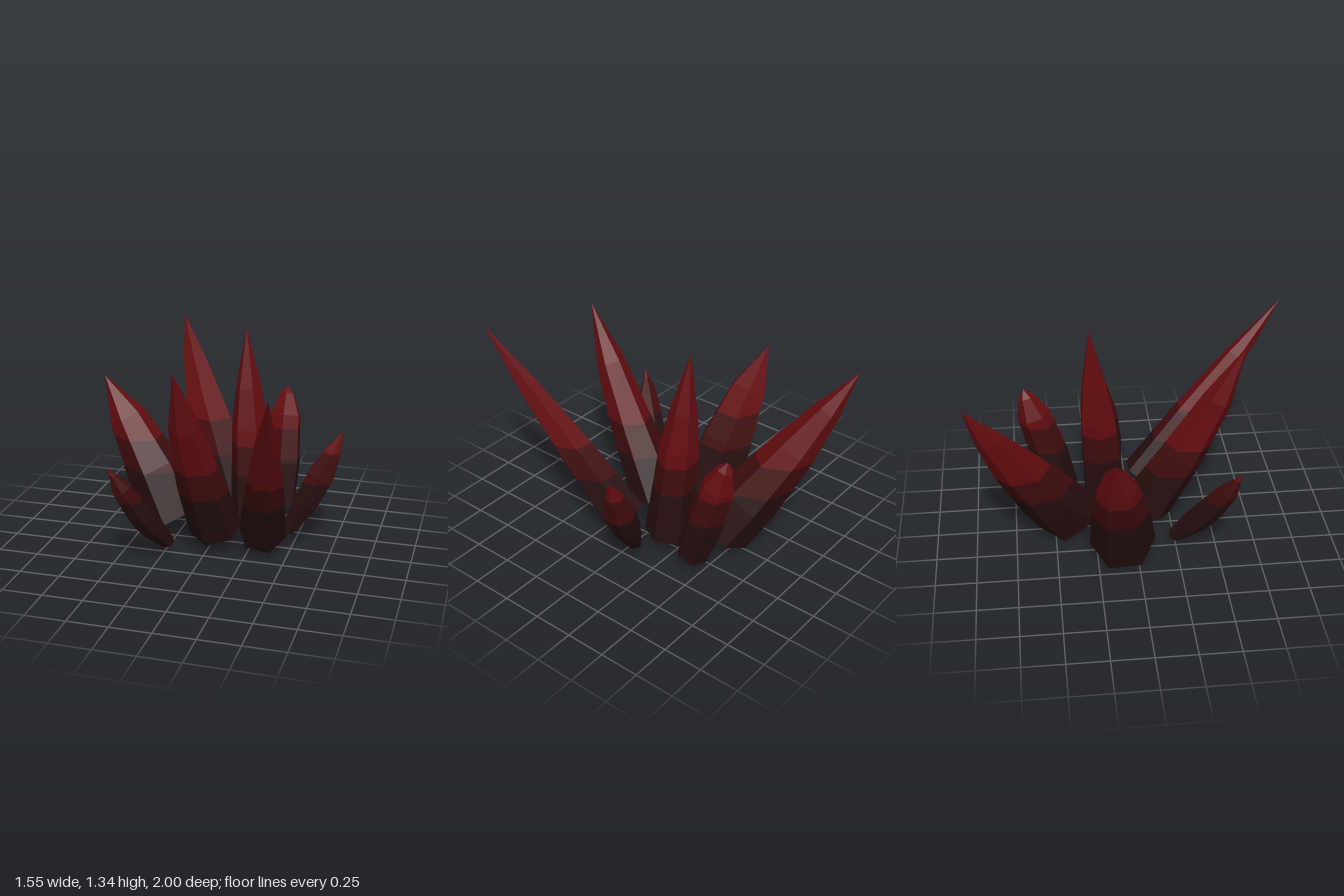
import * as THREE from 'three';

const SIDES = 6;

// Colour bands by height: [lower limit, upper limit]
const BANDS = [[-1, 0.425], [0.425, 0.615], [0.615, 9]];
const BAND_NAMES = ['lowerBand', 'middleBand', 'upperBand'];

// Each crystal: base centre, tip, rings as [position along axis, radius],
// bow of the axis, and turn in degrees (0 = corner uphill, 30 = flat uphill)
const CRYSTALS = [
  { name: 'backLeftCrystal', base: [0.02, 0.105, -0.41], tip: [-0.485, 1.205, -1],
    rings: [[0, 0.2], [0.2, 0.19], [0.53, 0.138], [0.77, 0.08]], bow: [-0.022, 0, -0.012], turn: 34 },
  { name: 'leftCrystal', base: [-0.29, 0.095, -0.09], tip: [-0.775, 0.98, -0.18],
    rings: [[0, 0.205], [0.33, 0.18], [0.7, 0.12]], bow: [0.018, 0.017, 0.005], turn: 40 },
  { name: 'centreCrystal', base: [0.225, 0.075, -0.155], tip: [0.14, 1.345, -0.25],
    rings: [[0, 0.15], [0.5, 0.12], [0.7, 0.083]], bow: [0, 0, 0], turn: -11 },
  { name: 'frontCrystal', base: [0.035, 0.14, 0.095], tip: [-0.05, 1.295, 0.68],
    rings: [[0, 0.165], [0.35, 0.138], [0.7, 0.092]], bow: [-0.012, -0.012, 0.02], turn: 0 },
  { name: 'frontLeftwardCrystal', base: [0.34, 0.14, 0.105], tip: [0.565, 1.285, 1],
    rings: [[0, 0.148], [0.35, 0.118], [0.7, 0.07]], bow: [0.003, -0.005, -0.01], turn: 15 },
  { name: 'backBluntCrystal', base: [0.335, 0.11, -0.43], tip: [0.32, 0.865, -0.66],
    rings: [[0, 0.1], [0.35, 0.12], [0.75, 0.105], [0.93, 0.05]], bow: [0, 0, 0], turn: 0 },
  { name: 'smallFrontCrystal', base: [-0.228, 0.065, 0.243], tip: [-0.475, 0.66, 0.605],
    rings: [[0, 0.045], [0.25, 0.075], [0.45, 0.08], [0.78, 0.06]], bow: [0, -0.02, 0.025], turn: 0 },
  { name: 'smallSideCrystal', base: [0.46, 0.085, -0.075], tip: [0.775, 0.75, -0.165],
    rings: [[0, 0.045], [0.3, 0.088], [0.57, 0.092], [0.8, 0.058]], bow: [0.012, -0.01, -0.005], turn: 15 },
];

// Keeps the part of a convex polygon where side * (y - level) >= 0
function clip(poly, level, side) {
  const out = [];
  poly.forEach((a, i) => {
    const b = poly[(i + 1) % poly.length];
    const da = side * (a.y - level), db = side * (b.y - level);
    if (da >= 0) out.push(a);
    if (da * db < 0) out.push(a.clone().lerp(b, da / (da - db)));
  });
  return out;
}

// Triangles of one crystal: tapered faceted shaft, pointed tip, flat base
function crystalFaces(spec) {
  const base = new THREE.Vector3(...spec.base);
  const tip = new THREE.Vector3(...spec.tip);
  const bow = new THREE.Vector3(...spec.bow);
  const axis = tip.clone().sub(base).normalize();
  const across = new THREE.Vector3(0, 1, 0).cross(axis).normalize();
  const uphill = axis.clone().cross(across);
  const phase = THREE.MathUtils.degToRad(90 + spec.turn);

  const rings = spec.rings.map(([t, r]) => {
    const centre = base.clone().lerp(tip, t).addScaledVector(bow, Math.sin(Math.PI * t));
    return Array.from({ length: SIDES }, (_, i) => {
      const a = phase + (i / SIDES) * Math.PI * 2;
      return centre.clone()
        .addScaledVector(across, r * Math.cos(a))
        .addScaledVector(uphill, r * Math.sin(a));
    });
  });

  const faces = [];
  const last = rings[rings.length - 1];
  for (let i = 0; i < SIDES; i++) {
    const j = (i + 1) % SIDES;
    for (let k = 0; k + 1 < rings.length; k++) {
      const lo = rings[k], hi = rings[k + 1];
      faces.push([lo[i], lo[j], hi[j]], [lo[i], hi[j], hi[i]]);
    }
    faces.push([last[i], last[j], tip]);
    faces.push([base, rings[0][j], rings[0][i]]);
  }
  return faces;
}

// Geometry of the faces lying between two heights
function bandGeometry(faces, [low, high]) {
  const positions = [];
  for (const face of faces) {
    const poly = clip(clip(face, low, 1), high, -1);
    for (let i = 1; i + 1 < poly.length; i++) {
      for (const p of [poly[0], poly[i], poly[i + 1]]) positions.push(p.x, p.y, p.z);
    }
  }
  const geometry = new THREE.BufferGeometry();
  geometry.setAttribute('position', new THREE.Float32BufferAttribute(positions, 3));
  geometry.computeVertexNormals();
  return geometry;
}

export function createModel() {
  const materials = [
    ['darkMaroon', 0x260e0e],
    ['deepRed', 0x400c0e],
    ['crimson', 0x630d10],
  ].map(([name, color]) => {
    const material = new THREE.MeshStandardMaterial({ color });
    material.name = name;
    return material;
  });

  const model = new THREE.Group();
  model.name = 'crystalCluster';
  for (const spec of CRYSTALS) {
    const crystal = new THREE.Group();
    crystal.name = spec.name;
    const faces = crystalFaces(spec);
    BANDS.forEach((band, i) => {
      const mesh = new THREE.Mesh(bandGeometry(faces, band), materials[i]);
      mesh.name = BAND_NAMES[i];
      crystal.add(mesh);
    });
    model.add(crystal);
  }
  return model;
}
